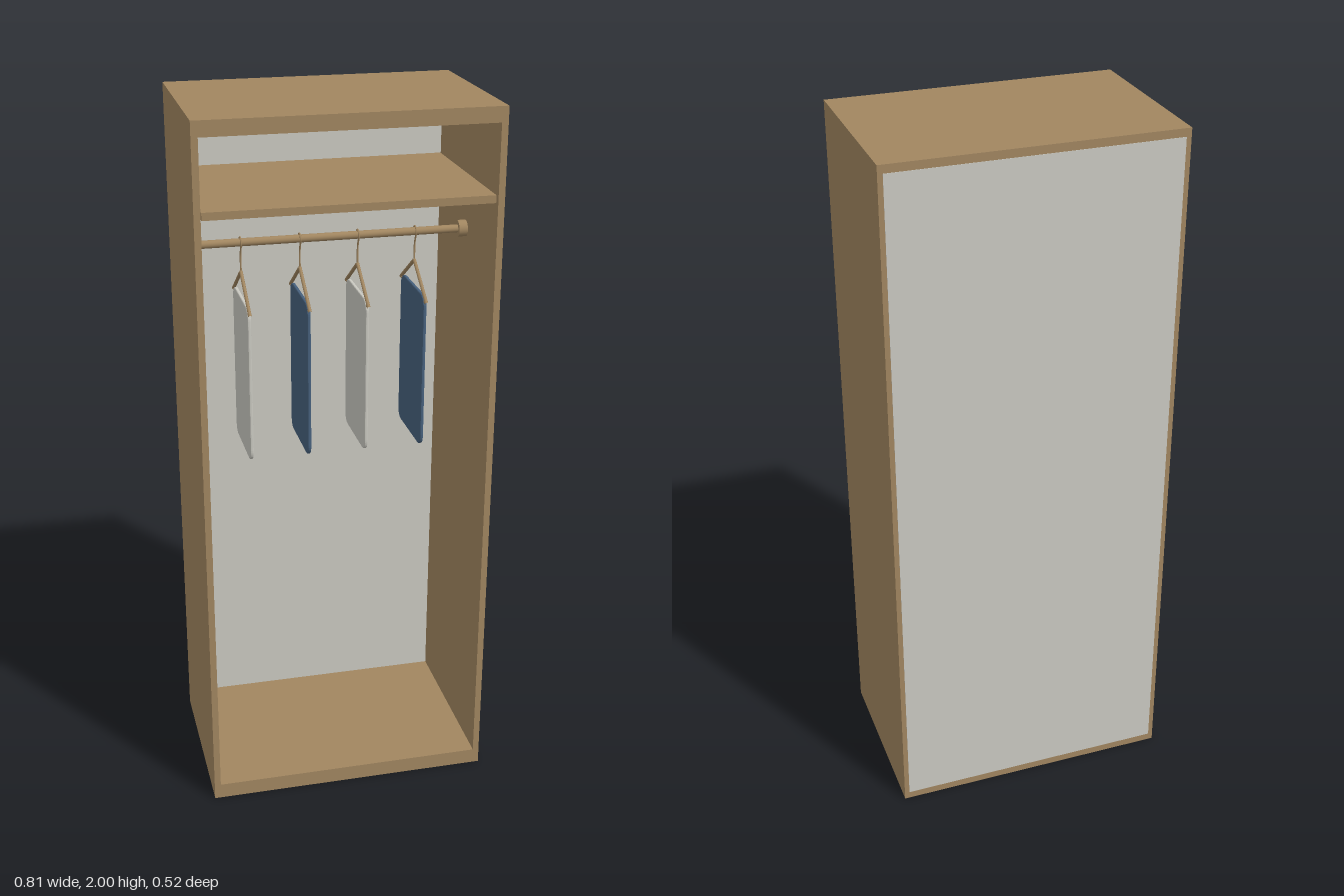
import * as THREE from 'three';

const material = (name, color) => {
  const m = new THREE.MeshStandardMaterial({ color });
  m.name = name;
  return m;
};

export function createModel() {
  const wood = material('wood', 0xa18660);
  const pale = material('pale grey', 0xcac9c1);
  const navy = material('navy cloth', 0x47617d);
  const model = new THREE.Group();
  model.name = 'wardrobe';

  const add = (name, geometry, mat, x = 0, y = 0, z = 0, parent = model) => {
    const mesh = new THREE.Mesh(geometry, mat);
    mesh.name = name;
    mesh.position.set(x, y, z);
    parent.add(mesh);
    return mesh;
  };
  const box = (name, w, h, d, mat, x, y, z) => add(name, new THREE.BoxGeometry(w, h, d), mat, x, y, z);

  // Carcass
  for (const s of [-1, 1]) box(s > 0 ? 'leftSide' : 'rightSide', 0.018, 2, 0.524, wood, s * 0.398, 1, 0);
  box('topBoard', 0.778, 0.042, 0.524, wood, 0, 1.979, 0);
  box('bottomBoard', 0.778, 0.045, 0.524, wood, 0, 0.0225, 0);
  box('backPanel', 0.786, 1.955, 0.012, pale, 0, 1, -0.257);
  box('shelf', 0.772, 0.021, 0.5, wood, 0, 1.758, 0.004);

  // Hanging rail with end sockets
  const rodY = 1.612;
  add('rail', new THREE.CylinderGeometry(0.011, 0.011, 0.776, 24), wood, 0, rodY).rotation.z = Math.PI / 2;
  for (const s of [-1, 1]) {
    add('railSocket', new THREE.CylinderGeometry(0.023, 0.023, 0.024, 24), wood, s * 0.377, rodY).rotation.z = Math.PI / 2;
  }

  // Garment outline: sloping shoulders and rounded hem, drawn in the z-y plane
  const outline = new THREE.Shape();
  outline.moveTo(-0.085, 1.015);
  outline.lineTo(0.085, 1.015);
  outline.quadraticCurveTo(0.112, 1.015, 0.112, 1.045);
  outline.lineTo(0.112, 1.425);
  outline.quadraticCurveTo(0.112, 1.45, 0.085, 1.454);
  outline.lineTo(-0.085, 1.454);
  outline.quadraticCurveTo(-0.112, 1.45, -0.112, 1.425);
  outline.lineTo(-0.112, 1.045);
  outline.quadraticCurveTo(-0.112, 1.015, -0.085, 1.015);
  const garment = new THREE.ExtrudeGeometry(outline, {
    depth: 0.004, bevelThickness: 0.003, bevelSize: 0.004, bevelSegments: 3, curveSegments: 8,
  });
  garment.translate(0, 0, -0.002).rotateY(Math.PI / 2);

  // Hanger: straight wooden arms below a bent hook
  const v = (y, z) => new THREE.Vector3(0, y, z);
  const strut = (a, b, r) => new THREE.TubeGeometry(new THREE.LineCurve3(a, b), 1, r, 8);
  const hookPoints = [v(1.53, 0), v(1.575, 0), v(1.594, 0.006)];
  for (let i = 0; i <= 6; i++) {
    const a = -0.7 + i * 0.6;
    hookPoints.push(v(rodY + 0.014 * Math.sin(a), 0.014 * Math.cos(a)));
  }
  const hook = new THREE.TubeGeometry(new THREE.CatmullRomCurve3(hookPoints), 32, 0.0025, 8);

  [-0.247, -0.083, 0.08, 0.243].forEach((x, i) => {
    const hanger = new THREE.Group();
    hanger.name = 'hanger';
    hanger.position.x = x;
    model.add(hanger);
    add('hook', hook, wood, 0, 0, 0, hanger);
    for (const s of [-1, 1]) add('hangerArm', strut(v(1.53, 0), v(1.443, s * 0.13), 0.005), wood, 0, 0, 0, hanger);
    add('hangerBar', strut(v(1.443, -0.13), v(1.443, 0.13), 0.004), wood, 0, 0, 0, hanger);
    add('garment', garment, i % 2 ? navy : pale, 0, 0, 0, hanger);
  });
  return model;
}
